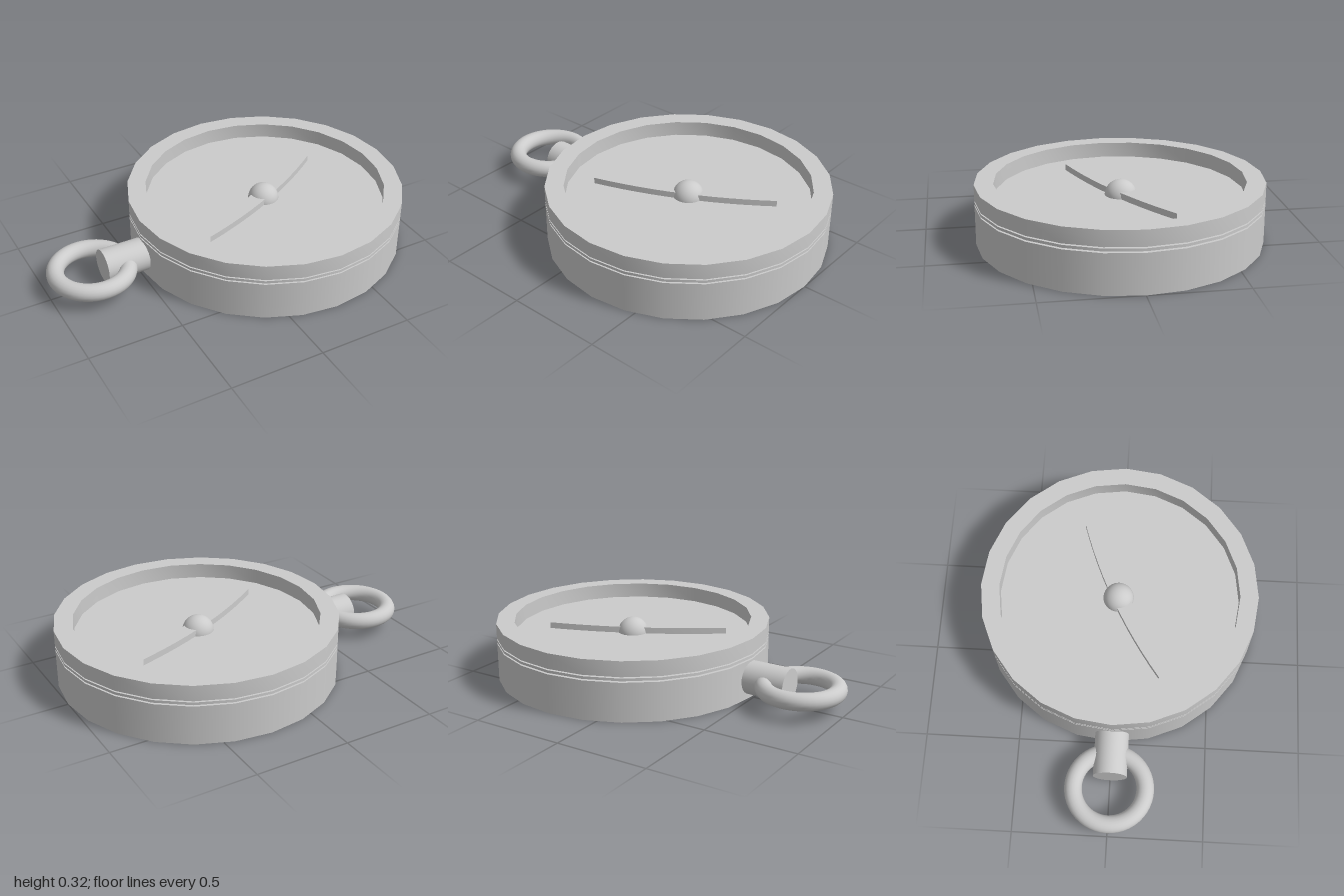
import * as THREE from 'three';
import { toCreasedNormals } from 'three/addons/utils/BufferGeometryUtils.js';

const CX = 0.257; // centre of the round case
const R = 0.743;
const SIDES = 24;

export function createModel() {
  const group = new THREE.Group();
  const material = new THREE.MeshStandardMaterial({ color: 0xcccccc });

  const add = (name, geometry, x, y, z = 0) => {
    const mesh = new THREE.Mesh(geometry, material);
    mesh.name = name;
    mesh.position.set(x, y, z);
    group.add(mesh);
    return mesh;
  };
  const disc = (name, bottom, top) =>
    add(name, new THREE.CylinderGeometry(R, R, top - bottom, SIDES), CX, (bottom + top) / 2);

  // Case and dial, separated by a hairline gap
  disc('case', 0, 0.209);
  disc('dialPlate', 0.217, 0.231);

  // Raised rim with an open centre
  const inner = 0.645, low = 0.238, high = 0.32;
  const profile = [[inner, low], [R, low], [R, high], [inner, high], [inner, low]]
    .map(([r, y]) => new THREE.Vector2(r, y));
  add('rim', toCreasedNormals(new THREE.LatheGeometry(profile, SIDES), 0.6), CX, 0);

  // Slim pointed needle lying on the dial
  const half = 0.487, bulge = 0.085;
  const lens = new THREE.Shape();
  lens.moveTo(-half, 0);
  lens.quadraticCurveTo(0, -bulge, half, 0);
  lens.quadraticCurveTo(0, bulge, -half, 0);
  const needleGeometry = new THREE.ExtrudeGeometry(lens, { depth: 0.033, bevelEnabled: false, curveSegments: 12 });
  needleGeometry.rotateX(-Math.PI / 2);
  const needle = add('needle', toCreasedNormals(needleGeometry, 0.6), 0.237, 0.231, 0.01);
  needle.rotation.y = Math.atan2(0.44, 0.87);

  // Pivot ball
  add('pivot', new THREE.SphereGeometry(0.083, 32, 20), CX - 0.002, 0.227, -0.005);

  // Stem joining the case to the carrying ring
  const stem = add('stem', new THREE.CylinderGeometry(0.089, 0.089, 0.29, 32), -0.56, 0.109);
  stem.rotation.z = Math.PI / 2;

  // Carrying ring, lying flat
  const ring = add('carryingRing', new THREE.TorusGeometry(0.188, 0.046, 20, 48), -0.766, 0.108);
  ring.rotation.x = Math.PI / 2;

  return group;
}
